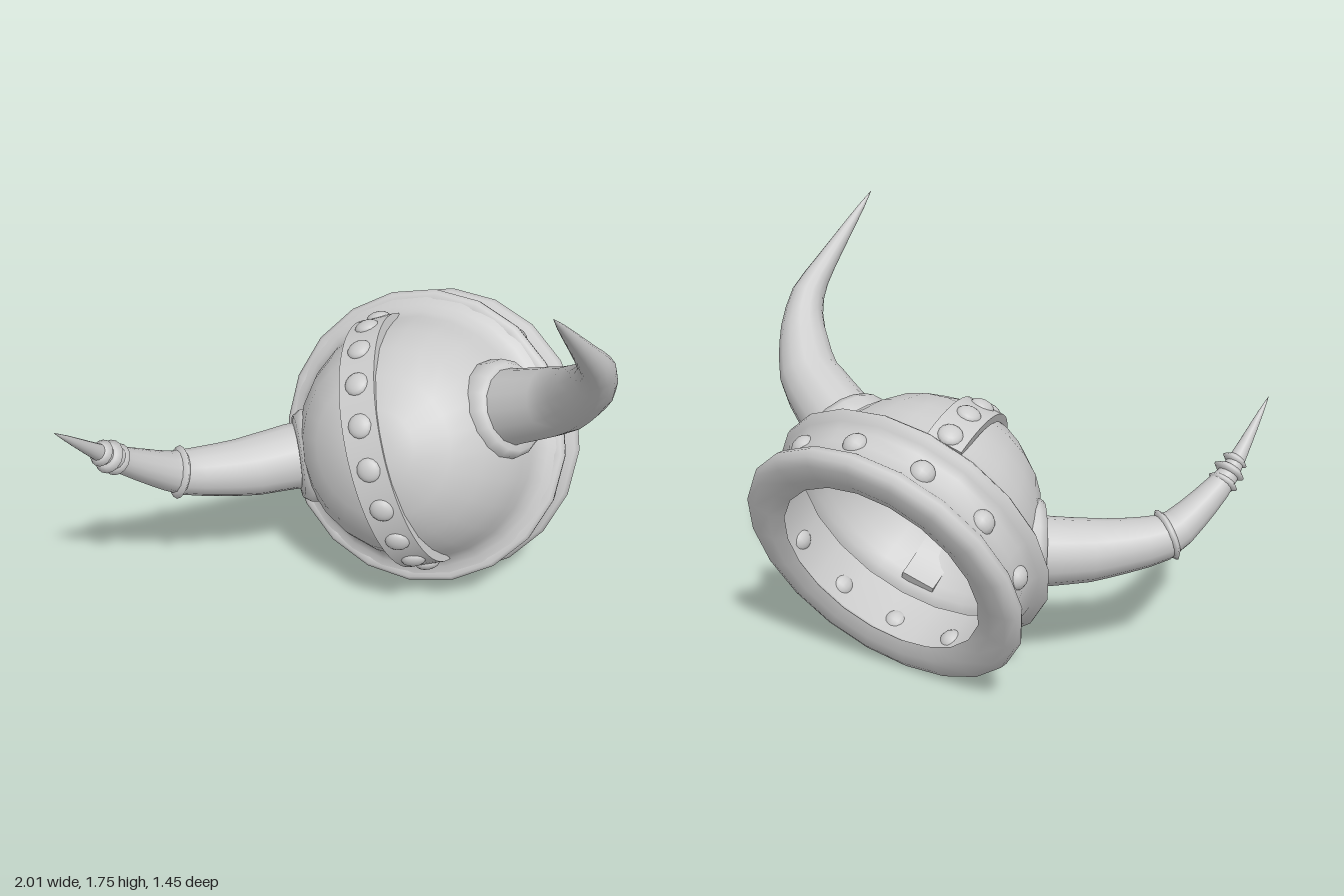
import * as THREE from 'three';
import { toCreasedNormals } from 'three/addons/utils/BufferGeometryUtils.js';

const V = (x, y, z) => new THREE.Vector3(x, y, z);
const UP = V(0, 1, 0);
const material = new THREE.MeshStandardMaterial({ color: 0xcccccc, side: THREE.DoubleSide });

function add(parent, name, geometry) {
  const mesh = new THREE.Mesh(geometry, material);
  mesh.name = name;
  parent.add(mesh);
  return mesh;
}

const lathe = (points, segments) =>
  new THREE.LatheGeometry(points.map(([r, h]) => new THREE.Vector2(r, h)), segments);

// Tapered tube through stations [x, y, z, radius]
function hornGeometry(stations) {
  const points = stations.map(([x, y, z]) => V(x, y, z));
  const curve = new THREE.CatmullRomCurve3(points, false, 'catmullrom', 0.3);
  const steps = 18, sides = 14, last = stations.length - 1;
  const geometry = new THREE.TubeGeometry(curve, steps, 1, sides);
  const pos = geometry.attributes.position, p = V(0, 0, 0);
  for (let i = 0; i <= steps; i++) {
    const centre = curve.getPointAt(i / steps);
    const t = curve.getUtoTmapping(i / steps) * last;
    const k = Math.min(Math.floor(t), last - 1);
    const radius = THREE.MathUtils.lerp(stations[k][3], stations[k + 1][3], t - k);
    for (let j = 0; j <= sides; j++) {
      const n = i * (sides + 1) + j;
      p.fromBufferAttribute(pos, n).sub(centre).multiplyScalar(radius).add(centre);
      pos.setXYZ(n, p.x, p.y, p.z);
    }
  }
  return geometry;
}

// Ring around a horn, facing along a direction
function addRing(parent, name, profile, centre, direction) {
  const ring = add(parent, name, lathe(profile, 16));
  ring.position.copy(centre);
  ring.quaternion.setFromUnitVectors(UP, direction.normalize());
}

const bead = (r, t) => [[r - t, -t], [r, -t * 0.8], [r + t, 0], [r, t * 0.8], [r - t, t]];
const collar = [[0.14, -0.07], [0.19, -0.07], [0.203, -0.03], [0.197, 0.03], [0.175, 0.06], [0.13, 0.065]];

export function createModel() {
  const model = new THREE.Group();
  model.name = 'hornedHelmet';

  // Helmet body, tilted so its crown points forward and up
  const helmet = new THREE.Group();
  helmet.name = 'helmetBody';
  const crown = V(-0.15, 0.4, 0.9).normalize();
  const across = V(0.93, 0.35, 0).addScaledVector(crown, -V(0.93, 0.35, 0).dot(crown)).normalize();
  const along = across.clone().cross(crown);
  helmet.quaternion.setFromRotationMatrix(new THREE.Matrix4().makeBasis(across, crown, along));
  helmet.position.set(0.23, 0.558, -0.467);
  model.add(helmet);

  // Dome flaring out into the rim
  add(helmet, 'dome', lathe([
    [0.58, 0.272], [0.55, 0.284], [0.522, 0.308], [0.503, 0.35], [0.486, 0.41], [0.453, 0.5],
    [0.385, 0.62], [0.28, 0.722], [0.15, 0.785], [0.07, 0.801], [0, 0.804],
  ], 24));

  // Rim with two rounded lips and a shallow groove between them
  add(helmet, 'rim', lathe([
    [0.44, 0.005], [0.5, -0.02], [0.57, -0.02], [0.608, -0.005], [0.618, 0.025], [0.605, 0.055],
    [0.575, 0.08], [0.565, 0.13], [0.57, 0.185], [0.59, 0.215], [0.612, 0.235], [0.614, 0.255],
    [0.6, 0.268], [0.57, 0.274], [0.53, 0.265], [0.53, 0.06], [0.44, 0.005],
  ], 20));

  // Band over the crown, an arch slightly wider than it is high
  const domeHeight = 0.35, bandOffset = -0.042, bandWidth = 0.15, end = 0.07;
  const arc = new THREE.Shape();
  arc.absellipse(0, 0, 0.52, 0.463, -end, Math.PI + end, false);
  arc.absellipse(0, 0, 0.475, 0.435, Math.PI + end, -end, true);
  const bandGeometry = new THREE.ExtrudeGeometry(arc, { depth: bandWidth, bevelEnabled: false, curveSegments: 20 });
  bandGeometry.translate(0, 0, -bandWidth / 2).rotateY(Math.PI / 2);
  const band = add(helmet, 'crownBand', toCreasedNormals(bandGeometry, 0.6));
  band.position.set(bandOffset, domeHeight, 0);

  // Rivets along the band
  const rivet = new THREE.SphereGeometry(0.05, 14, 10);
  for (let i = 0; i < 10; i++) {
    const a = THREE.MathUtils.degToRad(-88 + i * 19.3);
    const mesh = add(helmet, 'bandRivet', rivet);
    mesh.position.set(bandOffset, domeHeight + 0.457 * Math.cos(a), 0.515 * Math.sin(a));
    mesh.rotation.x = a;
    mesh.scale.y = 0.55;
  }

  // Rivets through the rim groove, five on each side of the horns
  for (const [middle, spacing] of [[-95.3, 30], [95.2, 29]]) {
    for (let i = -2; i <= 2; i++) {
      const a = THREE.MathUtils.degToRad(middle + i * spacing);
      const mesh = add(helmet, 'rimRivet', rivet);
      mesh.position.set(0.55 * Math.cos(a), 0.135, 0.55 * Math.sin(a));
      mesh.rotation.y = -a;
      mesh.scale.x = 0.85;
    }
  }

  // Left horn
  const leftHorn = new THREE.Group();
  leftHorn.name = 'leftHorn';
  model.add(leftHorn);
  add(leftHorn, 'horn', hornGeometry([
    [0.45, 0.89, -0.12, 0.165], [0.58, 0.96, -0.05, 0.155], [0.8, 1.1, 0.085, 0.128],
    [0.91, 1.26, 0.24, 0.093], [0.929, 1.4, 0.36, 0.066], [0.81, 1.75, 0.72, 0.001],
  ]));
  addRing(leftHorn, 'hornCollar', collar, V(0.55, 0.935, -0.07), V(0.8, 0.5, 0.4));

  // Right horn with ornamental rings
  const rightHorn = new THREE.Group();
  rightHorn.name = 'rightHorn';
  model.add(rightHorn);
  add(rightHorn, 'horn', hornGeometry([
    [-0.2, 0.58, -0.14, 0.15], [-0.33, 0.575, -0.08, 0.14], [-0.5, 0.565, 0.03, 0.125],
    [-0.74, 0.6, 0.19, 0.09], [-0.91, 0.79, 0.43, 0.046], [-1, 1.05, 0.71, 0.001],
  ]));
  addRing(rightHorn, 'hornCollar', collar, V(-0.245, 0.59, -0.09), V(-0.9, -0.05, 0.42));
  addRing(rightHorn, 'middleRing', bead(0.092, 0.018), V(-0.735, 0.6, 0.19), V(-0.74, 0.3, 0.6));
  for (const [x, y, z, r] of [[-0.9, 0.77, 0.41, 0.045], [-0.913, 0.805, 0.45, 0.048], [-0.926, 0.84, 0.485, 0.034]]) {
    addRing(rightHorn, 'tipRing', bead(r, 0.02), V(x, y, z), V(-0.3, 0.66, 0.69));
  }

  return model;
}
